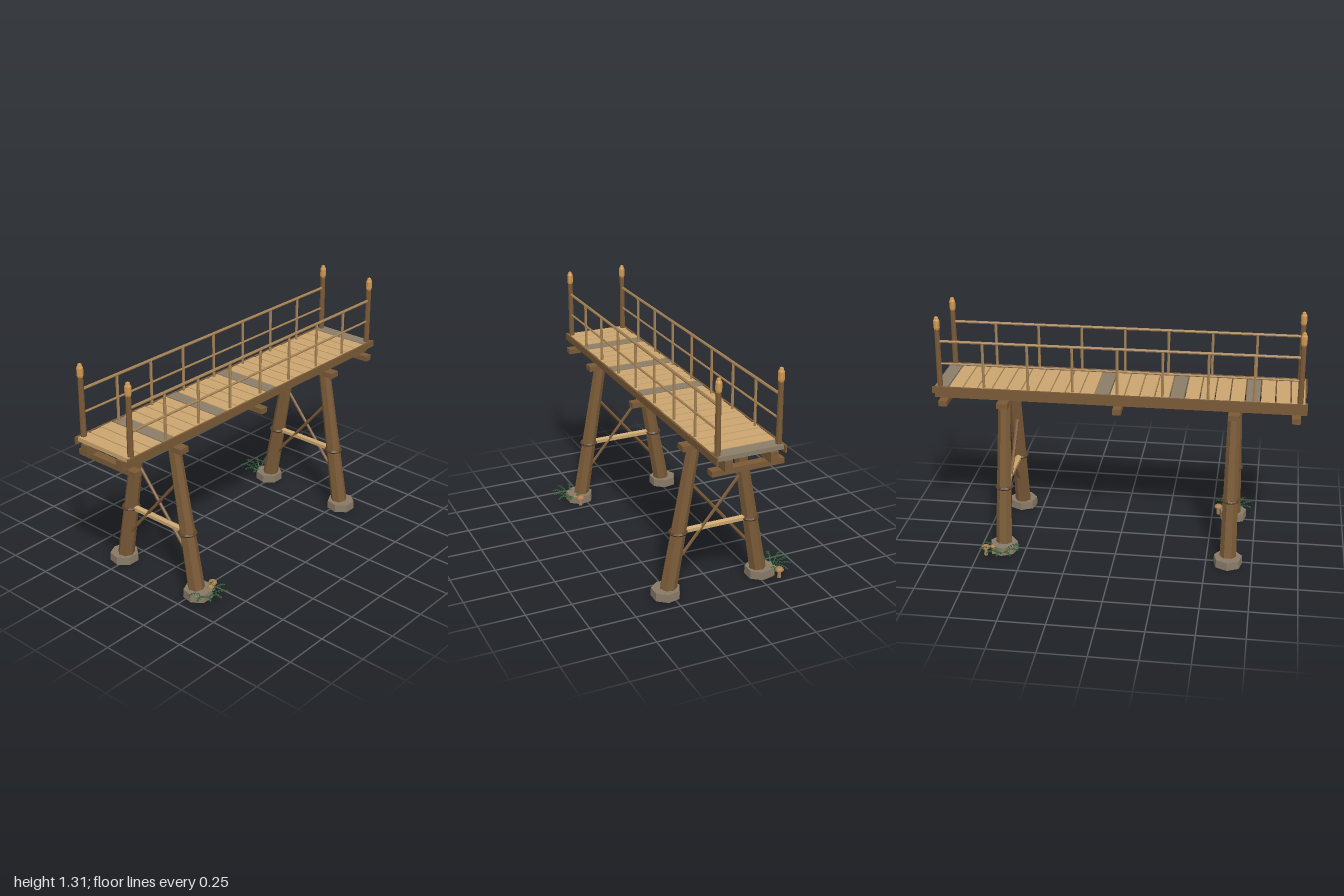
import * as THREE from 'three';

const mat = (name, color, extra = {}) => {
  const m = new THREE.MeshStandardMaterial({ color, flatShading: true, ...extra });
  m.name = name;
  return m;
};

export function createModel() {
  const root = new THREE.Group();
  root.name = 'footbridge';
  const M = {
    beam: mat('darkWood', 0x7a5a37),
    rail: mat('railWood', 0xa58254),
    plank: mat('plankWood', 0xcaa56e),
    grey: mat('weatheredWood', 0x8a7c68),
    finial: mat('goldenWood', 0xcf9850),
    stone: mat('stone', 0x877966),
    rope: mat('rope', 0x5c4329),
    fern: mat('fernGreen', 0x2b5a31, { side: THREE.DoubleSide }),
    mushroom: mat('mushroomTan', 0xa87f50),
  };

  const add = (name, geo, material, x = 0, y = 0, z = 0, parent = root) => {
    const mesh = new THREE.Mesh(geo, material);
    mesh.name = name;
    mesh.position.set(x, y, z);
    parent.add(mesh);
    return mesh;
  };
  const box = (name, material, w, h, d, x, y, z) =>
    add(name, new THREE.BoxGeometry(w, h, d), material, x, y, z);

  // Round or faceted bar running from point a to point b
  const up = new THREE.Vector3(0, 1, 0);
  const bar = (name, material, a, b, r0, r1 = r0, sides = 6) => {
    const p = new THREE.Vector3(...a), q = new THREE.Vector3(...b);
    const dir = q.clone().sub(p);
    const mid = p.clone().add(q).multiplyScalar(0.5);
    const mesh = add(name, new THREE.CylinderGeometry(r1, r0, dir.length(), sides), material, mid.x, mid.y, mid.z);
    mesh.quaternion.setFromUnitVectors(up, dir.normalize());
  };

  // Deck planks, a few of them weathered
  const weathered = [3, 8, 13, 24];
  for (let i = 0; i < 25; i++) {
    const wobble = 0.004 * Math.sin(i * 2.3);
    box('deckPlank', weathered.includes(i) ? M.grey : M.plank,
      0.072, 0.023, 0.354, (i - 12) * 0.0793, 0.9065, wobble);
  }

  // Girders and edge boards along the deck
  for (const s of [1, -1]) {
    box('girder', M.beam, 2, 0.055, 0.042, 0, 0.8675, s * 0.123);
    box('edgeBoard', M.beam, 2, 0.038, 0.01, 0, 0.9, s * 0.184);
  }

  // Cross beams under the girders
  for (const x of [-0.945, 0, 0.945]) box('crossBeam', M.beam, 0.046, 0.03, 0.394, x, 0.825, 0);
  for (const x of [-0.62, 0.62]) box('capBeam', M.beam, 0.06, 0.03, 0.394, x, 0.825, 0);

  // Trestles: stone feet, splayed legs, rope bindings and braces
  for (const x of [-0.62, 0.62]) {
    for (const s of [1, -1]) {
      const foot = add('footStone', new THREE.CylinderGeometry(0.078, 0.08, 0.045, 7), M.stone, x, 0.0225, s * 0.275);
      foot.rotation.y = Math.PI;
      bar('leg', M.beam, [x, 0.04, s * 0.262], [x, 0.825, s * 0.124], 0.046, 0.034, 7);
      const binding = add('ropeBinding', new THREE.TorusGeometry(0.042, 0.009, 5, 14), M.rope, x, 0.357, s * 0.207);
      binding.rotation.x = Math.PI / 2;
      bar('diagonalBrace', M.beam, [x + s * 0.009, 0.2, s * 0.21], [x + s * 0.009, 0.62, s * -0.14], 0.009);
    }
    bar('horizontalBrace', M.plank, [x, 0.357, -0.19], [x, 0.357, 0.19], 0.018);
  }

  // Railings: end posts with finials, two rails and balusters on each side
  const finial = new THREE.LatheGeometry(
    [[0, 0], [0.014, 0], [0.017, 0.01], [0.017, 0.05], [0.012, 0.06], [0.01, 0.069], [0, 0.074]]
      .map(([r, y]) => new THREE.Vector2(r, y)), 8);
  for (const s of [1, -1]) {
    const z = s * 0.165;
    for (const x of [-0.96, 0.96]) {
      bar('endPost', M.beam, [x, 0.89, z], [x, 1.24, z], 0.016, 0.014, 8);
      add('postFinial', finial, M.finial, x, 1.236, z);
    }
    bar('topRail', M.rail, [-0.96, 1.17, z], [0.96, 1.17, z], 0.008);
    bar('midRail', M.rail, [-0.96, 1.045, z], [0.96, 1.045, z], 0.006);
    for (let i = -3; i <= 3; i++) {
      bar('baluster', M.rail, [i * 0.24, 0.91, z], [i * 0.24, 1.17, z], 0.008);
    }
  }

  // Fern frond: arched stem strip with paired leaflets, growing along +x
  const frondGeometry = (length) => {
    const v = [];
    const at = (t) => [length * t, 0.01 + 0.052 * Math.sin(t * 2.1)];
    const steps = 8;
    for (let i = 0; i < steps; i++) {
      const [x0, y0] = at(i / steps), [x1, y1] = at((i + 1) / steps);
      const w = 0.003;
      v.push(x0, y0, -w, x0, y0, w, x1, y1, w, x0, y0, -w, x1, y1, w, x1, y1, -w);
      if (i < 2) continue;
      const reach = 0.017 * (1.15 - 0.6 * i / steps);
      for (const s of [1, -1]) {
        v.push(x0, y0, 0, x0 + 0.009, y0, s * reach * 0.5, x0 + 0.007, y0 - 0.003, s * reach);
        v.push(x0, y0, 0, x0 + 0.007, y0 - 0.003, s * reach, x0, y0, s * reach * 0.5);
      }
    }
    const g = new THREE.BufferGeometry();
    g.setAttribute('position', new THREE.Float32BufferAttribute(v, 3));
    g.computeVertexNormals();
    return g;
  };

  const mushroomCap = new THREE.SphereGeometry(1, 9, 4, 0, Math.PI * 2, 0, Math.PI / 2);
  const capBase = new THREE.CircleGeometry(1, 9).rotateX(Math.PI / 2);
  const mushroom = (x, z, r, h) => {
    const g = new THREE.Group();
    g.name = 'mushroom';
    g.position.set(x, 0, z);
    root.add(g);
    add('mushroomStem', new THREE.CylinderGeometry(r * 0.35, r * 0.45, h, 7), M.mushroom, 0, h / 2, 0, g);
    for (const geo of [mushroomCap, capBase]) {
      add('mushroomCap', geo, M.mushroom, 0, h, 0, g).scale.set(r, r * 0.75, r);
    }
  };

  // Fern and two mushrooms at two opposite feet; s is the side the fern leans to
  for (const [x, z, s] of [[-0.62, 0.335, 1], [0.62, -0.35, -1]]) {
    const fern = new THREE.Group();
    fern.name = 'fern';
    fern.position.set(x, 0, z);
    root.add(fern);
    for (let i = 0; i < 7; i++) {
      const frond = add('fernFrond', frondGeometry(0.112 + 0.008 * Math.sin(i * 1.9)), M.fern, 0, 0, 0, fern);
      frond.rotation.y = -s * Math.PI / 2 + (i - 3) * 0.64;
    }
    mushroom(x + 0.085, s > 0 ? 0.3 : -0.35, 0.025, 0.045);
    mushroom(x + 0.05, s > 0 ? 0.317 : -0.335, 0.016, 0.045);
  }
  return root;
}
